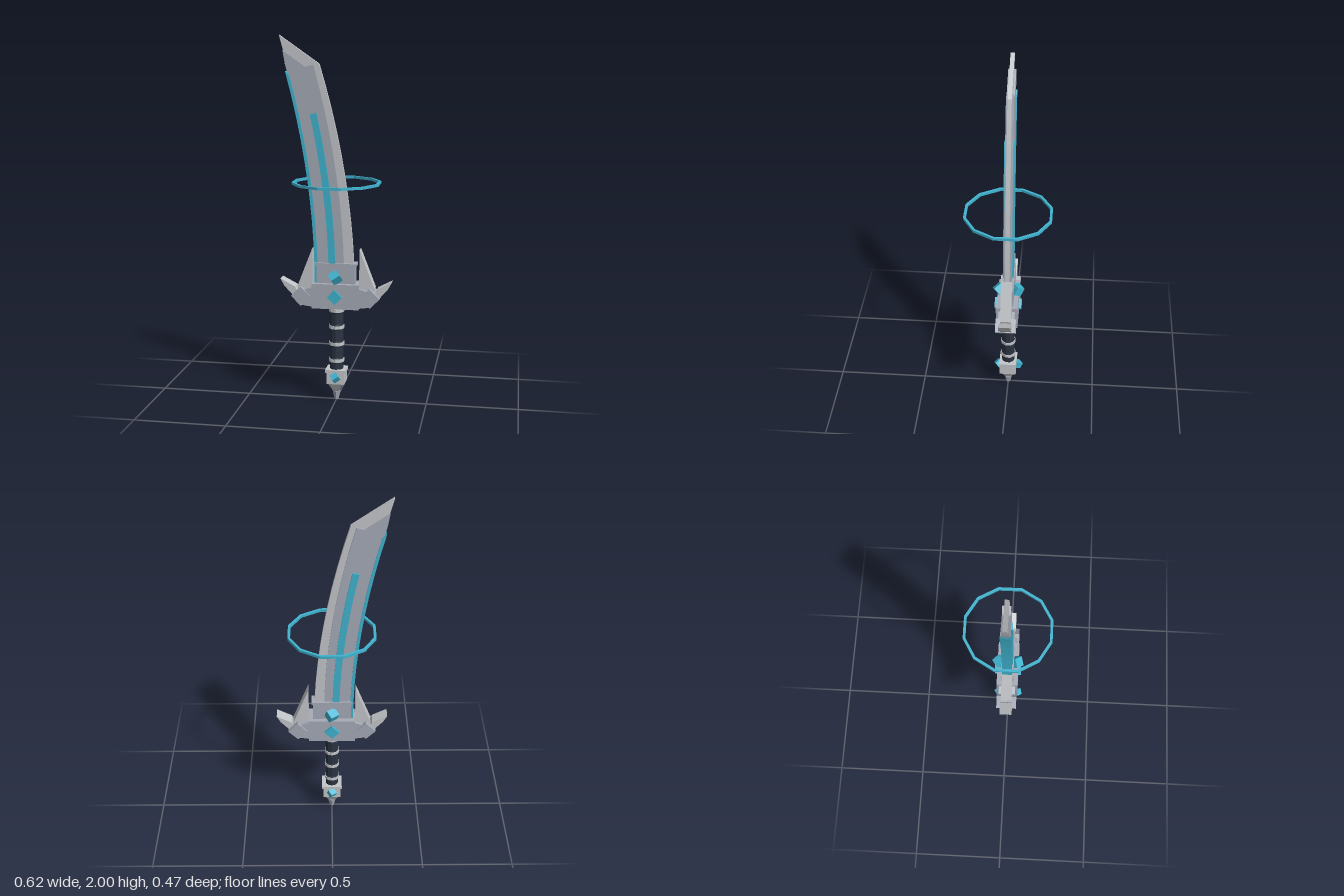
import * as THREE from 'three';

const mat = (name, color, side = THREE.FrontSide) => {
  const m = new THREE.MeshStandardMaterial({ color, flatShading: true, side });
  m.name = name;
  return m;
};

export function createModel() {
  const steel = mat('steel', 0xa6abb7);
  const pale = mat('paleSteel', 0xc3c6c9);
  const cyan = mat('cyanCrystal', 0x40b4d0);
  const wrap = mat('darkGrip', 0x2b3442);
  const root = new THREE.Group();

  const add = (name, geo, m, x = 0, y = 0, z = 0, parent = root) => {
    const mesh = new THREE.Mesh(geo, m);
    mesh.name = name;
    mesh.position.set(x, y, z);
    parent.add(mesh);
    return mesh;
  };
  // Flat outline extruded symmetrically about z = 0
  const plate = (pts, halfZ) => {
    const shape = new THREE.Shape(pts.map(p => new THREE.Vector2(p[0], p[1])));
    const g = new THREE.ExtrudeGeometry(shape, { depth: halfZ * 2, bevelEnabled: false });
    return g.translate(0, 0, -halfZ);
  };
  const box = (x, y, z) => new THREE.BoxGeometry(x, y, z);

  // All blade parts follow the same sweeping bend
  const bend = y => -0.118 * (y - 0.66) ** 2;
  const line = (offset, y0, y1, n = 10) => Array.from({ length: n + 1 }, (_, i) => {
    const t = i / n, y = y0 + (y1 - y0) * t;
    return [bend(y) + (typeof offset === 'function' ? offset(t) : offset), y];
  });

  // Blade: thick body, thin cutting edge and tip, glowing strips
  add('bladeBody', plate([
    ...line(0.044, 0.66, 1.845), [-0.165, 1.835], [-0.287, 1.92],
    ...line(-0.108, 0.66, 1.85).reverse(),
  ], 0.021), steel);
  add('bladeEdge', plate([
    ...line(t => 0.1 - 0.026 * t, 0.66, 1.85), [-0.308, 2], [-0.285, 1.915],
    ...line(-0.1, 0.66, 1.85).reverse(),
  ], 0.011), pale);
  add('backStrip', plate([
    ...line(-0.1, 0.66, 1.79), ...line(-0.117, 0.66, 1.81).reverse(),
  ], 0.027), cyan);
  add('fullerStrip', plate([
    ...line(-0.002, 0.7, 1.592), ...line(-0.039, 0.7, 1.585).reverse(),
  ], 0.029), cyan);

  // Floating twelve-sided ring
  const c = Math.cos(Math.PI / 12);
  const ro = 0.234 / c, ri = 0.22 / c;
  const ringProfile = [[ri, -0.007], [ro, -0.007], [ro, 0.007], [ri, 0.007], [ri, -0.007]]
    .map(p => new THREE.Vector2(p[0], p[1]));
  add('floatingRing', new THREE.LatheGeometry(ringProfile, 12, Math.PI / 12),
    mat('cyanRing', 0x40b4d0, THREE.DoubleSide), 0, 1.218, 0);

  // Guard blocks
  add('guardBlock', box(0.258, 0.138, 0.12), steel, 0, 0.6, 0);
  add('guardCollar', plate([
    [-0.105, 0.66], [0.105, 0.66], [0.105, 0.765], [0.113, 0.765],
    [0.113, 0.78], [-0.113, 0.78], [-0.113, 0.765], [-0.105, 0.765],
  ], 0.034), steel);

  // Guard wings, mirrored left and right
  for (const s of [1, -1]) {
    const wing = new THREE.Group();
    wing.name = s > 0 ? 'leftWing' : 'rightWing';
    root.add(wing);
    const pts = list => {
      const p = list.map(([x, y]) => [x * s, y]);
      return s > 0 ? p : p.reverse();
    };
    add('wingArm', plate(pts([[0.12, 0.535], [0.19, 0.545], [0.2, 0.62], [0.12, 0.65]]), 0.046), steel, 0, 0, 0, wing);
    add('wingBlock', box(0.076, 0.076, 0.112), steel, s * 0.19, 0.595, 0, wing).rotation.z = Math.PI / 4;
    add('tallSpike', plate(pts([[0.128, 0.62], [0.2, 0.6], [0.213, 0.645], [0.13, 0.86]]), 0.03), pale, 0, 0, 0, wing);
    add('horn', plate(pts([[0.205, 0.6], [0.24, 0.597], [0.285, 0.645], [0.307, 0.685], [0.225, 0.643]]), 0.034), pale, 0, 0, 0, wing);
  }

  // Crystals on the front and back
  for (const s of [1, -1]) {
    add('guardCrystal', box(0.058, 0.058, 0.03), cyan, 0, 0.6, s * 0.06).rotation.z = Math.PI / 4;
    add('collarCrystal', box(0.054, 0.05, 0.05), cyan, 0, 0.705, s * 0.048).rotation.set(s * 0.6, 0.55, 0.3);
    add('pommelCrystal', box(0.038, 0.036, 0.036), cyan, 0, 0.14, s * 0.055).rotation.set(s * 0.6, 0.55, 0.3);
  }

  // Grip: waisted dark segments between pale bands
  const bands = [0.515, 0.42, 0.325, 0.23];
  add('gripCollar', new THREE.CylinderGeometry(0.046, 0.036, 0.03, 8), pale, 0, 0.523, 0);
  for (const y of bands) {
    const profile = [[0.042, -0.05], [0.037, -0.03], [0.037, 0.03], [0.042, 0.05]]
      .map(p => new THREE.Vector2(p[0], p[1]));
    add('gripSegment', new THREE.LatheGeometry(profile, 10), wrap, 0, y - 0.0475, 0);
    add('gripBand', new THREE.CylinderGeometry(0.043, 0.043, 0.018, 10), pale, 0, y, 0);
  }

  // Pommel: cap, block, tapered foot and end stud
  add('pommelCap', box(0.114, 0.016, 0.1), pale, 0, 0.172, 0);
  add('pommelBlock', box(0.1, 0.066, 0.094), pale, 0, 0.132, 0);
  add('pommelFoot', new THREE.CylinderGeometry(0.06, 0.022, 0.05, 4)
    .rotateY(Math.PI / 4), pale, 0, 0.075, 0);
  add('pommelStud', new THREE.CylinderGeometry(0.024, 0.012, 0.05, 6), steel, 0, 0.025, 0);

  return root;
}
